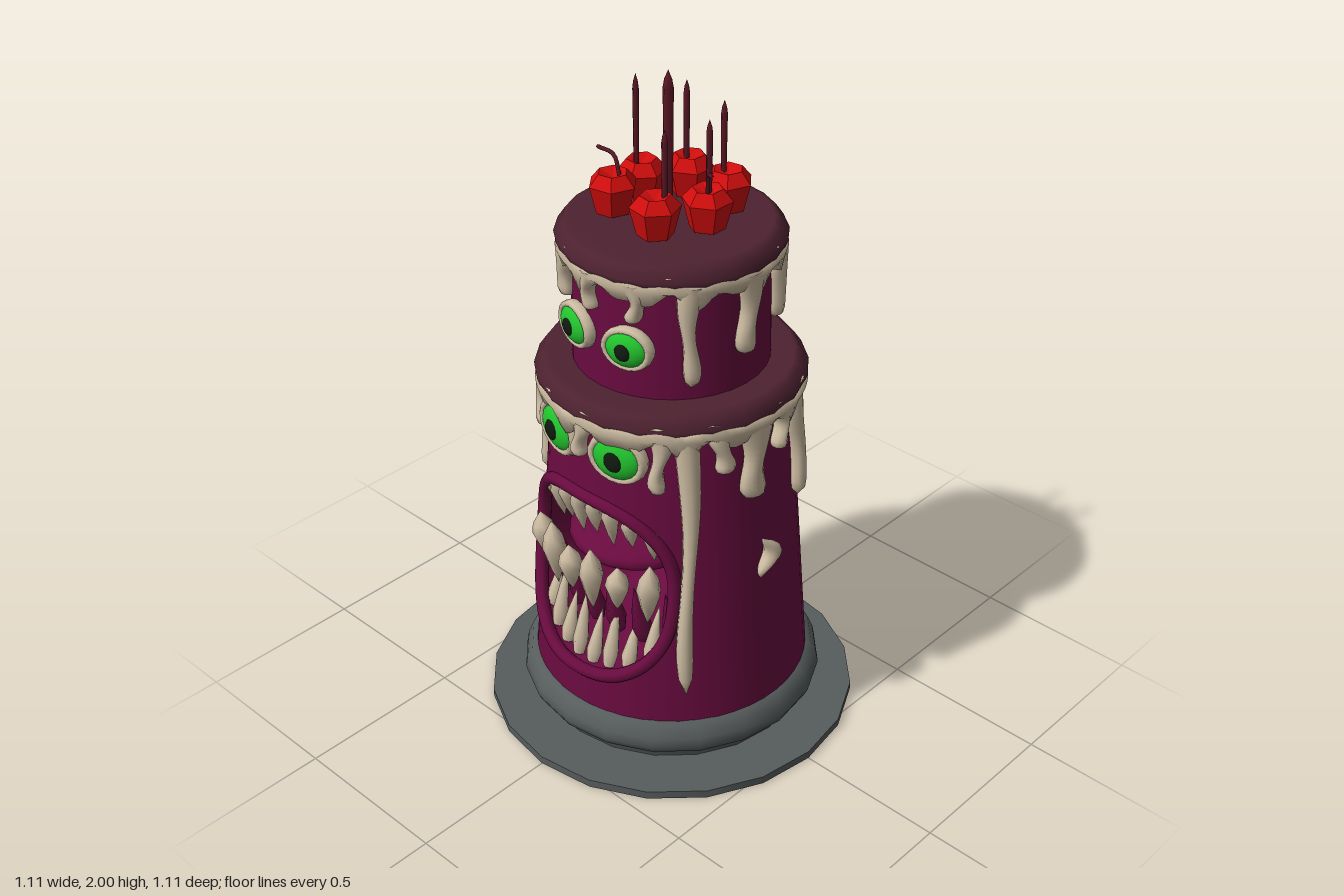
import * as THREE from 'three';
import { mergeVertices } from 'three/addons/utils/BufferGeometryUtils.js';

const mat = (name, color, side = THREE.FrontSide) => {
  const m = new THREE.MeshStandardMaterial({ color, side });
  m.name = name;
  return m;
};
const V = (x, y, z) => new THREE.Vector3(x, y, z);
const V2 = (x, y) => new THREE.Vector2(x, y);
const RAD = Math.PI / 180;
const lerp = THREE.MathUtils.lerp;

// Smooth surface from f(u, v), u running round and v running along
function grid(f, nu, nv) {
  const pos = [], idx = [];
  for (let i = 0; i <= nu; i++) for (let j = 0; j <= nv; j++) pos.push(...f(i / nu, j / nv));
  for (let i = 0; i < nu; i++) for (let j = 0; j < nv; j++) {
    const a = i * (nv + 1) + j, d = a + nv + 1;
    idx.push(a, a + 1, d + 1, a, d + 1, d);
  }
  let g = new THREE.BufferGeometry();
  g.setAttribute('position', new THREE.Float32BufferAttribute(pos, 3));
  g.setIndex(idx);
  g = mergeVertices(g, 1e-5);
  g.computeVertexNormals();
  return g;
}

const lowerRadius = y => 0.41 - 0.079 * (y - 0.17);
const upperRadius = () => 0.272;
const onBody = (theta, y) => [lowerRadius(y) * Math.sin(theta), y, lowerRadius(y) * Math.cos(theta)];

// Mouth opening, as a rounded oval on the lower tier
const MOUTH_Y = 0.57;
const soft = v => Math.sign(v) * Math.abs(v) ** 0.8;
function rim(a) {
  const y = MOUTH_Y + 0.29 * soft(Math.sin(a));
  return { theta: Math.asin(0.265 * soft(Math.cos(a)) / lowerRadius(y)), y };
}

export function createModel() {
  const root = new THREE.Group();
  const burgundy = mat('burgundy cake', 0x690b3f, THREE.DoubleSide);
  const icing = mat('dark icing', 0x4e2230);
  const cream = mat('cream', 0xcdbca2, THREE.DoubleSide);
  const grey = mat('grey stand', 0x575c5c);
  const red = mat('cherry red', 0xd00d0d);
  const green = mat('eye green', 0x22c42e);
  const black = mat('pupil black', 0x101a10);
  const wax = mat('dark red wax', 0x5c1826);

  const add = (name, geo, m, parent = root) => {
    const mesh = new THREE.Mesh(geo, m);
    mesh.name = name;
    parent.add(mesh);
    return mesh;
  };
  const group = name => {
    const g = new THREE.Group();
    g.name = name;
    root.add(g);
    return g;
  };
  const lathe = (pts, n) => new THREE.LatheGeometry(pts.map(p => V2(...p)), n);

  // Stand
  add('plate', new THREE.CylinderGeometry(0.555, 0.555, 0.025, 20), grey).position.y = 0.0125;
  add('standRim', lathe([[0.4, 0.02], [0.405, 0.06], [0.44, 0.075], [0.452, 0.1], [0.447, 0.125], [0.43, 0.165], [0.4, 0.17]], 20), grey);

  // Lower tier: plain back, and a front panel with the mouth cut out
  const T = 1.1, TOP = 1.13;
  const back = new THREE.CylinderGeometry(lowerRadius(TOP), lowerRadius(0.16), TOP - 0.16, 32, 1, true, T, 2 * Math.PI - 2 * T);
  add('lowerTierBack', back, burgundy).position.y = (TOP + 0.16) / 2;
  const corners = [[T, 0.16], [T, TOP], [-T, TOP], [-T, 0.16]];
  const border = u => {
    const k = Math.floor(u * 4) % 4, f = u * 4 - Math.floor(u * 4);
    const p = corners[k], q = corners[(k + 1) % 4];
    const theta = lerp(p[0], q[0], f), y = lerp(p[1], q[1], f);
    return { theta, y, a: Math.atan2((y - MOUTH_Y) / 0.3, theta / 0.75) };
  };
  add('lowerTierFront', grid((u, v) => {
    const b = border(u), r = rim(b.a);
    return onBody(lerp(r.theta, b.theta, v), lerp(r.y, b.y, v));
  }, 64, 8), burgundy);
  add('mouthCavity', grid((u, v) => {
    const r = rim(u * 2 * Math.PI), [x, y, z] = onBody(r.theta, r.y);
    return [x * v, lerp(MOUTH_Y, y, v), lerp(-0.05, z, v ** 4)];
  }, 48, 10), burgundy);
  const lipPath = [];
  for (let i = 0; i < 40; i++) {
    const r = rim(i / 40 * 2 * Math.PI);
    lipPath.push(V(...onBody(r.theta, r.y)));
  }
  add('lips', new THREE.TubeGeometry(new THREE.CatmullRomCurve3(lipPath, true), 80, 0.02, 8, true), burgundy);
  const tongue = add('tongue', new THREE.SphereGeometry(1, 20, 12), burgundy);
  tongue.scale.set(0.21, 0.06, 0.22);
  tongue.position.set(0, 0.64, 0.12);

  // Teeth: tapered spikes from a base to a tip
  const teeth = group('teeth');
  const spike = (name, from, to, r, profile, m = cream) => {
    const len = from.distanceTo(to);
    const mesh = add(name, lathe(profile.map(([w, t]) => [w * r, t * len]), 7), m, teeth);
    mesh.position.copy(from);
    mesh.quaternion.setFromUnitVectors(V(0, 1, 0), to.clone().sub(from).normalize());
  };
  const cone = [[0.7, 0], [1, 0.2], [0.6, 0.6], [0, 1]];
  const spindle = [[0, 0], [0.55, 0.25], [1, 0.55], [0.8, 0.75], [0, 1]];
  for (let i = 0; i < 8; i++) {
    const x = -0.2 + i * 0.4 / 7, c = 1 - (x / 0.27) ** 2, odd = i % 2;
    const z = Math.sqrt(0.36 ** 2 - x * x);
    spike('upperTooth', V(x, 0.76 + 0.09 * c, z - 0.01), V(x * 0.95, 0.68 + 0.05 * c - odd * 0.02, z - 0.03), 0.027, cone);
    spike('lowerTooth', V(x, 0.39 - 0.1 * c, z + 0.005), V(x, 0.5 - 0.04 * c + odd * 0.05, z - 0.04), 0.024, cone);
  }
  for (let i = 0; i < 6; i++) {
    const x = -0.21 + i * 0.084, z = Math.sqrt(0.4 ** 2 - x * x), odd = i % 2;
    spike('middleTooth', V(x * 0.95, 0.52 - odd * 0.03, z - 0.03), V(x * 1.05, 0.68 + odd * 0.03, z - 0.02), 0.036, spindle);
    spike('gumSpike', V(x + 0.03, 0.4, z - 0.1), V(x + 0.03, 0.6, z - 0.06), 0.03, cone, burgundy);
  }

  // Upper tier and icing tops
  add('upperTier', new THREE.CylinderGeometry(0.272, 0.278, 0.39, 32, 1, true), burgundy).position.y = 1.355;
  const cap = (name, y, r) => add(name, lathe([[r - 0.06, y - 0.075], [r - 0.01, y - 0.065], [r, y - 0.04], [r - 0.022, y - 0.008], [r - 0.04, y], [0, y]], 24), icing);
  cap('lowerIcing', 1.18, 0.385);
  cap('upperIcing', 1.59, 0.318);

  // Cream skirts with a wavy lower edge
  const skirt = (name, y0, y1, r, inner, waves) => add(name, grid((u, v) => {
    const th = u * 2 * Math.PI;
    const wave = 0.016 * Math.sin(waves * th) + 0.012 * Math.sin((waves + 6) * th + 1);
    const row = Math.round(v * 4);
    const rr = [inner, r - 0.005, r, r - 0.012, inner][row];
    const y = [y0, y0 + wave * 0.5, lerp(y0, y1, 0.5), y1 + wave, y1 + wave][row];
    return [rr * Math.sin(th), y, rr * Math.cos(th)];
  }, 96, 4), cream);
  skirt('lowerCream', 1.14, 1.075, 0.383, 0.325, 13);
  skirt('upperCream', 1.55, 1.485, 0.314, 0.262, 11);

  // Cream runs: flattened strands hugging the tier, flared above and rounded below
  const drips = group('creamDrips');
  const drip = (deg, top, bottom, width, surface, lift = 0.018, pointed = false) => {
    const th = deg * RAD;
    add('drip', grid((u, v) => {
      const a = u * 2 * Math.PI, t = v;
      const end = Math.sqrt(Math.max(0, 1 - Math.max(0, (t - 0.85) / 0.15) ** 2));
      const w = width / 2 * end * (pointed ? Math.sin(Math.PI * t) : 0.85 + 0.6 * (1 - t) ** 4 + 0.15 * Math.sin(t * 9));
      const y = lerp(top, bottom, t);
      const bend = th + (pointed ? 0.06 : 0.025) * Math.sin(t * 6 + deg);
      const r = surface(y) + lift * (1 - 0.3 * t) + 0.026 * end * Math.cos(a) * (pointed ? Math.sin(Math.PI * t) : 1);
      const s = w * Math.sin(a);
      return [r * Math.sin(bend) + s * Math.cos(bend), y, r * Math.cos(bend) - s * Math.sin(bend)];
    }, 10, 14), cream, drips);
  };
  [[-63, 0.7, 0.06], [-85, 0.56, 0.045], [-115, 0.86, 0.07], [-138, 0.74, 0.045], [-160, 0.86, 0.08], [178, 0.8, 0.06],
    [150, 0.72, 0.055], [117, 0.76, 0.055], [82, 0.87, 0.085], [50, 0.27, 0.05], [66, 0.98, 0.06], [-42, 0.95, 0.06],
    [38, 0.93, 0.05], [0, 0.99, 0.05], [100, 0.98, 0.05]].forEach(([d, b, w]) => drip(d, 1.12, b, w, lowerRadius));
  [[-75, 1.27, 0.05], [-38, 1.37, 0.07], [-5, 1.41, 0.04], [24, 1.41, 0.05], [53, 1.22, 0.05], [88, 1.28, 0.065],
    [128, 1.29, 0.06], [150, 1.28, 0.05], [-177, 1.27, 0.05], [-125, 1.27, 0.065], [-98, 1.4, 0.05], [-150, 1.4, 0.05]]
    .forEach(([d, b, w]) => drip(d, 1.53, b, w, upperRadius));
  drip(87, 0.735, 0.6, 0.06, lowerRadius, 0.02, true);
  drip(-84, 0.47, 0.3, 0.05, lowerRadius, 0.025, true);

  // Two pairs of eyes
  const eye = (x, y, z, rx, ry) => {
    const g = group('eye');
    g.position.set(x, y, z);
    g.rotation.set(0, Math.atan2(x, z) * 0.7, Math.sign(x) * 0.12);
    add('eyeball', new THREE.SphereGeometry(1, 18, 12), green, g).scale.set(rx, ry, 0.035);
    const ring = add('eyelid', new THREE.TorusGeometry(1, 0.17, 8, 20), cream, g);
    ring.scale.set(rx, ry, 0.12);
    const pupil = add('pupil', new THREE.SphereGeometry(1, 10, 8), black, g);
    pupil.scale.set(rx * 0.36, ry * 0.45, 0.009);
    pupil.position.z = 0.031;
  };
  for (const s of [-1, 1]) {
    eye(s * 0.095, 1.33, 0.268, 0.068, 0.055);
    eye(s * 0.112, 1.022, 0.328, 0.08, 0.068);
  }

  // Cherries
  const cherries = group('cherries');
  [[-0.055, -0.13], [0.085, -0.13], [-0.13, -0.02], [0.125, -0.005], [-0.125, 0.095], [0.055, 0.12]].forEach(([x, z], i) => {
    const g = lathe([[0, 0], [0.05, 0.005], [0.07, 0.085], [0.042, 0.118], [0, 0.1]], 6).toNonIndexed();
    g.computeVertexNormals();
    const c = add('cherry', g, red, cherries);
    c.position.set(x, 1.592, z);
    c.rotation.y = i * 0.7;
  });

  // Candles and curled stems
  const candles = group('candles');
  [[-0.012, 0, 2, 0.015], [-0.135, -0.005, 1.955, 0.009], [-0.067, -0.13, 1.92, 0.009], [0.068, -0.13, 1.9, 0.009],
    [0.125, -0.01, 1.9, 0.009], [0.07, 0.1, 1.89, 0.009]].forEach(([x, z, top, r]) => {
    const h = top - 1.59;
    add('candle', lathe([[r * 0.8, 0], [r, h * 0.88], [r * 0.7, h * 0.94], [0, h]], 6), wax, candles).position.set(x, 1.59, z);
  });
  [[V(0.13, 1.7, 0), V(0.155, 1.765, 0.025), V(0.205, 1.785, 0.065)],
    [V(-0.11, 1.7, 0.085), V(-0.135, 1.75, 0.08), V(-0.205, 1.75, 0.07)]].forEach(p =>
    add('stem', new THREE.TubeGeometry(new THREE.CatmullRomCurve3(p), 8, 0.006, 5), wax, candles));

  return root;
}
